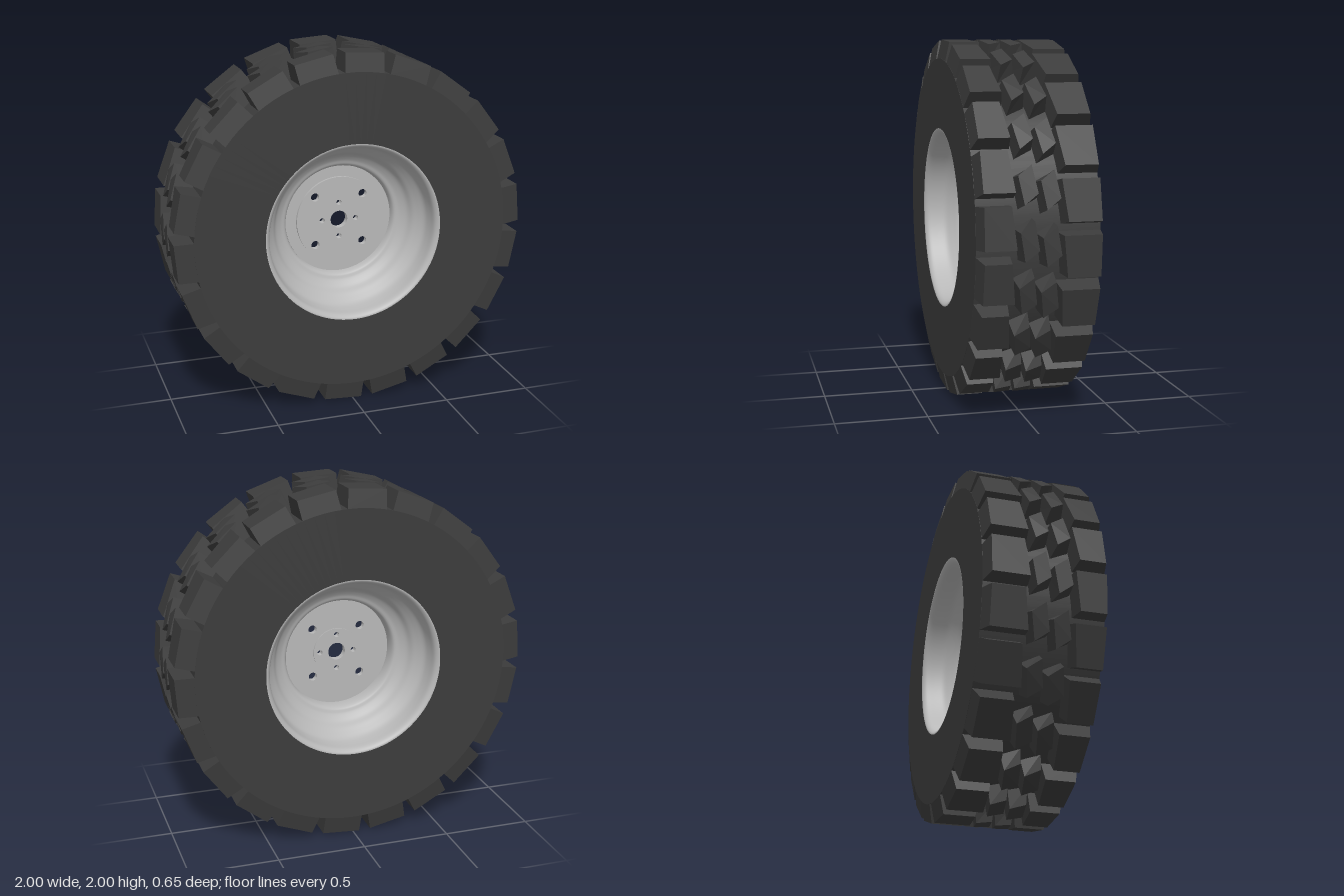
import * as THREE from 'three';
import { toCreasedNormals } from 'three/addons/utils/BufferGeometryUtils.js';

const rubber = new THREE.MeshStandardMaterial({ color: 0x3c3c3c, side: THREE.DoubleSide });
const metal = new THREE.MeshStandardMaterial({ color: 0xb8b8b8, side: THREE.DoubleSide });
const LUGS = 22;
const PITCH = (Math.PI * 2) / LUGS;
const DEG = Math.PI / 180;
const FLOOR = 0.895; // radius of the tread floor

// Revolve profile points (radius, z) about the z axis
function revolve(points) {
  return new THREE.LatheGeometry(points, 96).rotateX(Math.PI / 2);
}

// Ring of tapered tread lugs; corners are [angle, z, radius], counter-clockwise from outside
function lugRing(base, top, phase) {
  const pos = [];
  for (let i = 0; i < LUGS; i++) {
    const place = ([a, z, r]) => {
      const angle = a + phase + i * PITCH;
      return [r * Math.cos(angle), r * Math.sin(angle), z];
    };
    const b = base.map(place), t = top.map(place);
    const quad = (p, q, r, s) => pos.push(...p, ...q, ...r, ...p, ...r, ...s);
    quad(...t);
    for (let k = 0; k < 4; k++) {
      const n = (k + 1) % 4;
      quad(b[k], b[n], t[n], t[k]);
    }
  }
  const g = new THREE.BufferGeometry();
  g.setAttribute('position', new THREE.Float32BufferAttribute(pos, 3));
  g.computeVertexNormals();
  return g;
}

// Shoulder lug footprint with a slanted inner edge
function shoulder(halfLength, inner, outer, r) {
  return [[-halfLength, inner, r], [halfLength, inner + 0.024, r],
    [halfLength, outer, r], [-halfLength, outer, r]];
}

// Slanted parallelogram footprint for the centre lugs
function slanted(halfLength, halfWidth, z, r) {
  return [[-1, -1], [1, -1], [1, 1], [-1, 1]].map(([u, v]) =>
    [u * halfLength - v * 0.028, z + v * halfWidth + u * 0.012, r]);
}

// Flat disc with a hub bore, four small holes and optional bolt holes
function plate(radius, z0, z1, bolts) {
  const s = new THREE.Shape().absarc(0, 0, radius, 0, Math.PI * 2);
  const hole = (x, y, r) => s.holes.push(new THREE.Path().absarc(x, y, r, 0, Math.PI * 2, true));
  hole(0, 0, 0.05);
  for (let i = 0; i < 4; i++) {
    const a = (i * Math.PI) / 2, b = a + Math.PI / 4;
    hole(0.1 * Math.cos(a), 0.1 * Math.sin(a), 0.015);
    if (bolts) hole(0.2 * Math.cos(b), 0.2 * Math.sin(b), 0.024);
  }
  const g = new THREE.ExtrudeGeometry(s, { depth: z1 - z0, bevelEnabled: false, curveSegments: 32 });
  g.translate(0, 0, z0);
  return toCreasedNormals(g, 0.6);
}

export function createModel() {
  const model = new THREE.Group();
  model.name = 'offRoadWheel';
  const wheel = new THREE.Group();
  wheel.name = 'wheel';
  wheel.position.y = 1;
  model.add(wheel);
  const add = (name, geometry, material, parent = wheel) => {
    const m = new THREE.Mesh(geometry, material);
    m.name = name;
    parent.add(m);
  };

  // Tyre body: flat sidewalls and a plain tread floor
  const section = [[0.505, -0.325], [FLOOR, -0.325], [FLOOR, 0.325], [0.505, 0.325]];
  add('tyreBody', toCreasedNormals(revolve(section.map((p) => new THREE.Vector2(...p))), 0.3), rubber);

  // Tread: each half runs the other way; the grooves sit slightly off centre
  const halves = [
    { side: 'front', turn: 0, inner: 0.138, centre: 0.072, phase: 4.8 },
    { side: 'back', turn: Math.PI, inner: 0.103, centre: 0.043, phase: 4 },
  ];
  for (const { side, turn, inner, centre, phase } of halves) {
    const half = new THREE.Group();
    half.name = side + 'Tread';
    half.rotation.y = turn;
    add(side + 'ShoulderLugs', lugRing(shoulder(0.122, inner - 0.013, 0.325, FLOOR),
      shoulder(0.109, inner, 0.302, 1), phase * DEG), rubber, half);
    add(side + 'CentreLugs', lugRing(slanted(0.09, 0.049, centre, FLOOR - 0.005),
      slanted(0.074, 0.037, centre, 1), 0.8 * DEG), rubber, half);
    wheel.add(half);
  }

  // Rim: smooth bowl mirrored front to back
  const bowl = [[0.51, 0.325], [0.495, 0.322], [0.479, 0.3], [0.472, 0.25], [0.462, 0.205],
    [0.437, 0.17], [0.412, 0.14], [0.39, 0.105], [0.355, 0.078], [0.322, 0.06]];
  const mirrored = [...bowl.map(([r, z]) => [r, -z]), [0.312, 0], ...bowl.slice().reverse()];
  const curve = new THREE.SplineCurve(mirrored.map((p) => new THREE.Vector2(...p)));
  add('rim', revolve(curve.getPoints(80)), metal);

  // Centre disc with a raised front pad and a small hub pad behind
  add('centreDisc', plate(0.313, 0.01, 0.03, true), metal);
  add('frontPad', plate(0.25, 0.03, 0.045, true), metal);
  add('backHubPad', plate(0.137, 0.003, 0.01, false), metal);

  return model;
}
